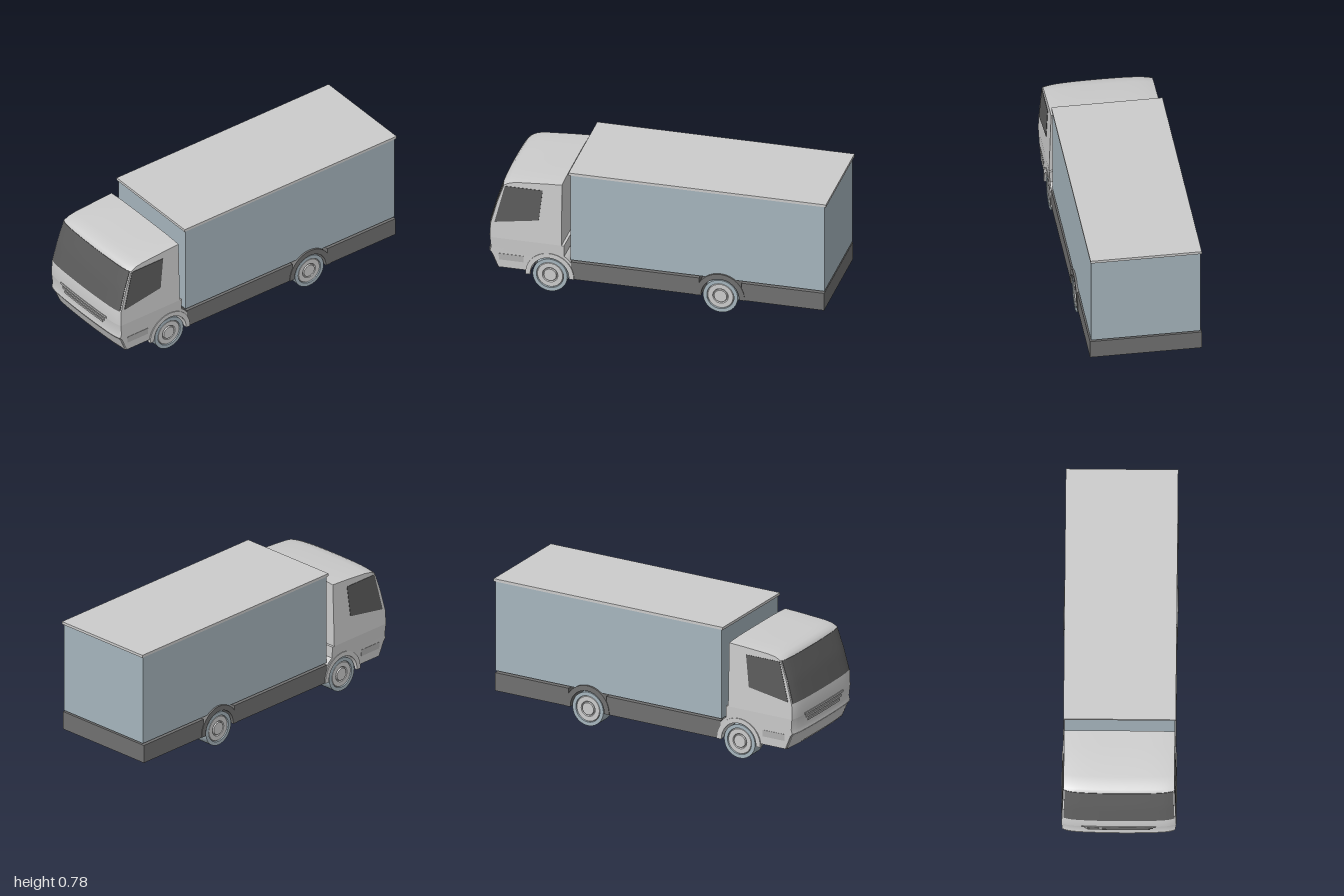
import * as THREE from 'three';
import { toCreasedNormals } from 'three/addons/utils/BufferGeometryUtils.js';

const material = (color) => new THREE.MeshStandardMaterial({ color, side: THREE.DoubleSide });
const GREY = material(0xcccccc);
const TRIM = material(0xb4b4b4);
const DARK = material(0x707070);
const GLASS = material(0x5c5c5c);
const BLUE = material(0xa6b5bd);

const FRONT_AXLE = -0.625, REAR_AXLE = 0.378, WHEEL_R = 0.102;

// Cab nose line as [height, x], and cab half width as [height, z]
const NOSE = [[0.115, -0.95], [0.2, -0.985], [0.215, -0.998], [0.24, -0.992], [0.305, -0.998],
  [0.39, -0.996], [0.53, -0.958], [0.645, -0.918], [0.662, -0.903], [0.672, -0.88], [0.68, -0.83]];
const WIDTH = [[0.1, 0.318], [0.2, 0.322], [0.305, 0.327], [0.7, 0.315]];

function lookup(table, y) {
  for (let i = 1; i < table.length; i++) {
    const [y0, v0] = table[i - 1], [y1, v1] = table[i];
    if (y <= y1) return v0 + (v1 - v0) * THREE.MathUtils.clamp((y - y0) / (y1 - y0), 0, 1);
  }
  return table[table.length - 1][1];
}
const halfWidth = (y) => lookup(WIDTH, y);
// How far the nose sweeps back towards the sides (u runs from -1 to 1)
const sweep = (u) => 0.01 * u * u + 0.012 * Math.pow(u, 10);

function add(group, name, geometry, mat) {
  const mesh = new THREE.Mesh(geometry, mat);
  mesh.name = name;
  group.add(mesh);
  return mesh;
}

// Box given by its limits
function block(group, name, mat, x0, x1, y0, y1, z0, z1) {
  const geo = new THREE.BoxGeometry(x1 - x0, y1 - y0, z1 - z0);
  geo.translate((x0 + x1) / 2, (y0 + y1) / 2, (z0 + z1) / 2);
  return add(group, name, geo, mat);
}

function reshape(geo, rule) {
  const p = geo.attributes.position;
  for (let i = 0; i < p.count; i++) p.setXYZ(i, ...rule(p.getX(i), p.getY(i), p.getZ(i)));
  return toCreasedNormals(geo, 0.5);
}

// Side profile extruded across the cab, then tapered, crowned and swept
function cabShell(group, name, shape) {
  const geo = new THREE.ExtrudeGeometry(shape, { depth: 2, steps: 24, bevelEnabled: false, curveSegments: 20 });
  add(group, name, reshape(geo, (x, y, z) => {
    const u = z - 1;
    const nose = THREE.MathUtils.clamp((-0.75 - x) / 0.1, 0, 1);
    const crown = y > 0.65 ? 0.008 * Math.pow(u, 4) : 0;
    return [x + sweep(u) * nose, y - crown, u * halfWidth(y)];
  }), GREY);
}

// Panel that follows the curved nose
function nosePanel(group, name, mat, y0, y1, span, proud) {
  const geo = new THREE.BoxGeometry(1, y1 - y0, 2 * span, 1, 8, 24);
  add(group, name, reshape(geo, (x, y, u) => {
    const h = y + (y0 + y1) / 2;
    return [lookup(NOSE, h) + sweep(u) + (x < 0 ? -proud : 0.01), h, u * halfWidth(h)];
  }), mat);
}

// Flat panel lying on a cab side
function sidePanel(group, name, mat, side, corners, proud) {
  const geo = new THREE.ExtrudeGeometry(new THREE.Shape(corners.map(([x, y]) => new THREE.Vector2(x, y))),
    { depth: 0.01, bevelEnabled: false });
  const mesh = add(group, name, reshape(geo, (x, y, z) => [x, y, halfWidth(y) + proud - 0.01 + z]), mat);
  mesh.scale.z = side;
}

function createCab() {
  const cab = new THREE.Group();
  cab.name = 'cab';

  // Lower body with wheel arch and rear mudguard
  const lower = new THREE.Shape();
  lower.moveTo(-0.95, 0.115);
  lower.lineTo(FRONT_AXLE - 0.115, 0.115);
  lower.absarc(FRONT_AXLE, WHEEL_R, 0.114, Math.PI - 0.1, 0, true);
  lower.lineTo(-0.47, 0.1);
  lower.quadraticCurveTo(-0.485, 0.205, -0.54, 0.235);
  lower.lineTo(-0.54, 0.305);
  NOSE.filter(([y]) => y < 0.31).reverse().forEach(([y, x]) => lower.lineTo(x, y));
  cabShell(cab, 'lowerCab', lower);

  // Upper body with sloping front and roof
  const upper = new THREE.Shape();
  upper.moveTo(-0.555, 0.305);
  upper.lineTo(-0.555, 0.697);
  upper.lineTo(-0.65, 0.692);
  NOSE.filter(([y]) => y > 0.3).reverse().forEach(([y, x]) => upper.lineTo(x, y));
  cabShell(cab, 'upperCab', upper);

  // Windscreen, grille bars and bumper
  nosePanel(cab, 'windscreen', GLASS, 0.4, 0.645, 0.975, 0.002);
  [0.258, 0.28, 0.302].forEach((y, i) =>
    nosePanel(cab, 'grilleBar', TRIM, y, y + 0.013, 0.55 + 0.05 * i, 0.004));
  nosePanel(cab, 'bumper', GREY, 0.125, 0.215, 0.97, 0.003);

  // Side windows, lamps and arch lips
  for (const side of [1, -1]) {
    sidePanel(cab, 'sideWindow', GLASS, side, [[-0.95, 0.405], [-0.69, 0.448], [-0.668, 0.64], [-0.89, 0.64]], 0.002);
    sidePanel(cab, 'sideLamp', TRIM, side, [[-0.925, 0.165], [-0.78, 0.165], [-0.78, 0.205], [-0.925, 0.205]], 0.002);
    const lip = archRing(0.114, 0.142, 0.02);
    lip.translate(FRONT_AXLE, WHEEL_R, 0.308);
    add(cab, 'archLip', lip, GREY).scale.z = side;
  }
  block(cab, 'cabFloor', DARK, -0.935, -0.745, 0.112, 0.13, -0.31, 0.31);
  block(cab, 'frontWheelHousing', DARK, -0.75, -0.48, 0.1, 0.235, -0.2, 0.2);
  return cab;
}

// Half ring around a wheel
function archRing(inner, outer, depth) {
  const shape = new THREE.Shape();
  shape.absarc(0, 0, outer, -0.05, Math.PI + 0.05, false);
  shape.absarc(0, 0, inner, Math.PI + 0.05, -0.05, true);
  return toCreasedNormals(new THREE.ExtrudeGeometry(shape, { depth, bevelEnabled: false, curveSegments: 28 }), 0.5);
}

function lathe(points) {
  const geo = new THREE.LatheGeometry(points.map(([r, h]) => new THREE.Vector2(r, h)), 40);
  return toCreasedNormals(geo.rotateX(Math.PI / 2), 0.5);
}

function createWheel(x, side) {
  const wheel = new THREE.Group();
  wheel.name = 'wheel';
  add(wheel, 'tyre', lathe([[0, 0], [WHEEL_R, 0], [WHEEL_R, 0.103], [0.08, 0.103], [0.078, 0.092]]), BLUE);
  add(wheel, 'hub', lathe([[0.079, 0.092], [0.074, 0.1], [0.046, 0.1], [0.042, 0.092], [0.039, 0.092],
    [0.037, 0.102], [0, 0.102]]), GREY);
  wheel.position.set(x, WHEEL_R, side * 0.215);
  if (side < 0) wheel.rotation.y = Math.PI;
  return wheel;
}

export function createModel() {
  const truck = new THREE.Group();
  truck.name = 'boxTruck';
  truck.add(createCab());

  // Cargo box and its roof
  block(truck, 'cargoBox', BLUE, -0.505, 0.99, 0.215, 0.76, -0.315, 0.315);
  block(truck, 'cargoRoof', GREY, -0.515, 1.0, 0.76, 0.776, -0.32, 0.32);

  // Chassis with side skirts and rear wheel arches
  block(truck, 'chassis', DARK, -0.5, 0.99, 0.095, 0.205, -0.2, 0.2);
  for (const side of [1, -1]) {
    const [z0, z1] = side > 0 ? [0.2, 0.322] : [-0.322, -0.2];
    block(truck, 'frontSkirt', DARK, -0.5, REAR_AXLE - 0.125, 0.095, 0.205, z0, z1);
    block(truck, 'rearSkirt', DARK, REAR_AXLE + 0.125, 0.99, 0.095, 0.205, z0, z1);
    const arch = archRing(0.112, 0.144, 0.126);
    arch.translate(REAR_AXLE, WHEEL_R, 0.2);
    add(truck, 'rearArch', arch, DARK).scale.z = side;
    truck.add(createWheel(FRONT_AXLE, side), createWheel(REAR_AXLE, side));
  }
  return truck;
}
